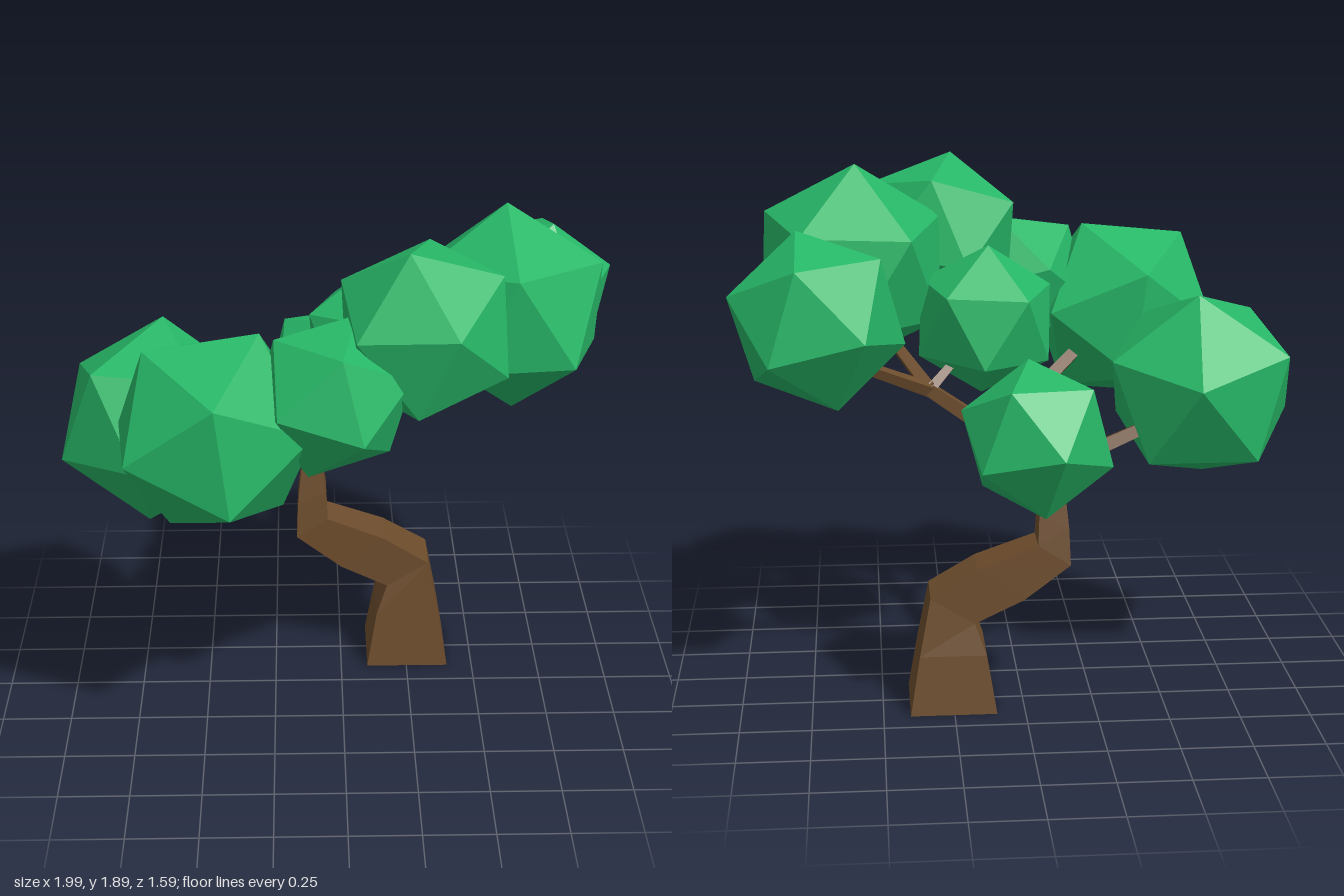
import * as THREE from 'three';

const bark = new THREE.MeshStandardMaterial({ color: 0x6c4c2c, flatShading: true });
bark.name = 'bark brown';
const leaf = new THREE.MeshStandardMaterial({ color: 0x27b767, flatShading: true });
leaf.name = 'leaf green';

const V = (p) => new THREE.Vector3(...p);

// Square-section trunk lofted through rings of [leftX, leftY, rightX, rightY, halfDepth]
function makeTrunk(rings, z) {
  const pos = [];
  const index = [];
  rings.forEach(([lx, ly, rx, ry, h], i) => {
    pos.push(lx, ly, z + h, rx, ry, z + h, rx, ry, z - h, lx, ly, z - h);
    if (i === 0) return;
    const lo = (i - 1) * 4, hi = i * 4;
    for (let j = 0; j < 4; j++) {
      const k = (j + 1) % 4;
      index.push(lo + j, lo + k, hi + k, lo + j, hi + k, hi + j);
    }
  });
  const t = (rings.length - 1) * 4;
  index.push(0, 2, 1, 0, 3, 2, t, t + 1, t + 2, t, t + 2, t + 3);
  const indexed = new THREE.BufferGeometry();
  indexed.setAttribute('position', new THREE.Float32BufferAttribute(pos, 3));
  indexed.setIndex(index);
  const geo = indexed.toNonIndexed();
  geo.computeVertexNormals();
  return new THREE.Mesh(geo, bark);
}

// Tapered four-sided limb from a to b
function makeLimb(a, b, ra, rb) {
  const start = V(a);
  const dir = V(b).sub(start);
  const len = dir.length();
  const geo = new THREE.CylinderGeometry(rb, ra, len, 4);
  geo.rotateY(Math.PI / 4);
  const mesh = new THREE.Mesh(geo, bark);
  mesh.quaternion.setFromUnitVectors(new THREE.Vector3(0, 1, 0), dir.clone().normalize());
  mesh.position.copy(start).addScaledVector(dir, 0.5);
  return mesh;
}

// Icosahedron turned so that two neighbouring corners point along a and b
function makeClump(center, r, a, b) {
  const p = V(a).normalize(), q = V(b).normalize();
  const x = p.clone().sub(q).normalize();
  const y = p.clone().add(q).normalize();
  const z = x.clone().cross(y);
  const mesh = new THREE.Mesh(new THREE.IcosahedronGeometry(r, 0), leaf);
  mesh.quaternion.setFromRotationMatrix(new THREE.Matrix4().makeBasis(x, y, z));
  mesh.position.set(...center);
  return mesh;
}

export function createModel() {
  const tree = new THREE.Group();
  tree.name = 'tree';
  const add = (mesh, name) => {
    mesh.name = name;
    tree.add(mesh);
  };

  // Crooked trunk
  add(makeTrunk([
    [0.10, 0, 0.405, 0, 0.152],
    [0.135, 0.21, 0.37, 0.21, 0.124],
    [0.175, 0.32, 0.33, 0.415, 0.098],
    [0.0, 0.40, 0.165, 0.515, 0.09],
    [-0.165, 0.52, -0.05, 0.595, 0.077],
    [-0.16, 0.65, -0.055, 0.70, 0.06],
    [-0.145, 0.80, -0.072, 0.80, 0.037],
    [-0.14, 0.88, -0.06, 0.88, 0.037],
  ], -0.253), 'trunk');

  // Limbs: [name, start, end, start radius, end radius]
  const crown = [-0.1, 0.85, -0.25];
  const frontFork = [-0.06, 1.01, 0.15];
  const leftFork = [0.32, 1.145, -0.25];
  const limbs = [
    ['frontLimb', crown, frontFork, 0.048, 0.036],
    ['frontLeftBranch', frontFork, [0.25, 1.38, 0.37], 0.036, 0.028],
    ['frontMiddleBranch', frontFork, [-0.04, 1.26, 0.40], 0.034, 0.025],
    ['frontRightBranch', frontFork, [-0.32, 1.19, 0.41], 0.034, 0.027],
    ['leftLimb', crown, leftFork, 0.042, 0.03],
    ['leftBackBranch', leftFork, [0.61, 1.28, -0.36], 0.028, 0.022],
    ['leftFrontBranch', leftFork, [0.46, 1.29, 0], 0.03, 0.022],
    ['innerBranch', leftFork, [0.25, 1.21, -0.19], 0.025, 0.02],
    ['rightLimb', crown, [-0.5, 0.98, -0.11], 0.038, 0.028],
    ['backLimb', crown, [-0.06, 0.98, -0.45], 0.038, 0.028],
  ];
  for (const [name, a, b, ra, rb] of limbs) add(makeLimb(a, b, ra, rb), name);

  // Leaf clumps: [name, centre, radius, corner direction, neighbouring corner direction]
  const clumps = [
    ['rightClump', [-0.663, 1.087, -0.018], 0.366, [-0.34, -0.10, 0.10], [-0.015, -0.335, 0.10]],
    ['frontRightClump', [-0.435, 1.267, 0.483], 0.368, [0.155, 0.33, -0.03], [0.01, 0.198, 0.32]],
    ['frontMiddleClump', [-0.042, 1.388, 0.49], 0.278, [-0.17, 0, 0.2], [-0.19, 0.2, 0]],
    ['frontLeftClump', [0.267, 1.573, 0.36], 0.323, [-0.055, 0.295, 0.105], [0.10, 0.066, 0.305]],
    ['leftClump', [0.58, 1.53, 0.045], 0.365, [-0.015, 0.36, -0.035], [0, 0.20, 0.31]],
    ['backLeftClump', [0.70, 1.424, -0.386], 0.31, [0.295, 0.08, -0.03], [0.057, 0.295, 0.095]],
    ['middleClump', [0.12, 1.358, -0.1], 0.266, [-0.52, 0.375, -0.765], [-0.045, 0.996, -0.065]],
    ['backClump', [-0.027, 1.042, -0.537], 0.272, [-0.07, -0.015, -0.25], [0.1, 0.2, -0.16]],
  ];
  for (const [name, c, r, a, b] of clumps) add(makeClump(c, r, a, b), name);

  return tree;
}
